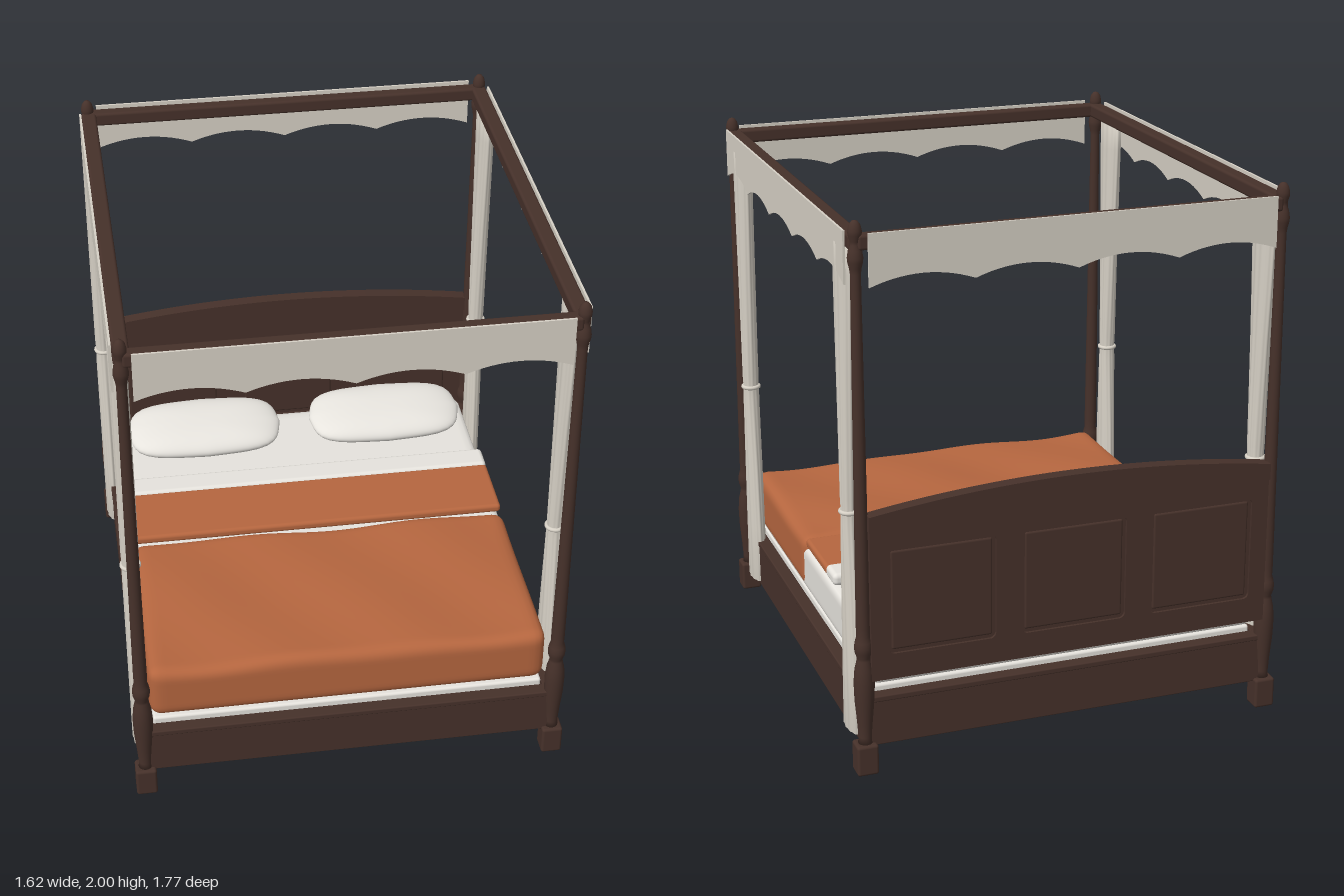
import * as THREE from 'three';
import { mergeVertices } from 'three/addons/utils/BufferGeometryUtils.js';
import { RoundedBoxGeometry } from 'three/addons/geometries/RoundedBoxGeometry.js';

const mat = (name, color, side = THREE.FrontSide) => {
  const m = new THREE.MeshStandardMaterial({ color, side });
  m.name = name;
  return m;
};

const PX = 0.77, PZ = 0.848; // post positions

// weld a geometry and give it smooth normals
function smooth(geo) {
  geo.deleteAttribute('uv');
  geo.deleteAttribute('normal');
  const g = mergeVertices(geo, 1e-5);
  g.computeVertexNormals();
  return g;
}

// move every vertex of a geometry by a rule
function reshape(geo, rule) {
  const p = geo.attributes.position, v = new THREE.Vector3();
  for (let i = 0; i < p.count; i++) {
    rule(v.fromBufferAttribute(p, i));
    p.setXYZ(i, v.x, v.y, v.z);
  }
  return geo;
}

// finely divided box with rounded edges and an optional ripple on its top
function softBox(w, h, d, r, ripple) {
  const half = new THREE.Vector3(w / 2 - r, h / 2 - r, d / 2 - r);
  const inner = new THREE.Vector3();
  const geo = reshape(new THREE.BoxGeometry(w, h, d, 64, 14, 48), v => {
    inner.copy(v).clamp(half.clone().negate(), half);
    v.sub(inner).normalize().multiplyScalar(r).add(inner);
    if (ripple) v.y += ripple(v.x, v.z) * Math.max(0, v.y / (h / 2));
  });
  return smooth(geo);
}

// plump pillow with a squarish outline
function pillowGeometry(a, t, b) {
  return smooth(reshape(new THREE.SphereGeometry(1, 48, 28), v => {
    const r = Math.hypot(v.x, v.z);
    if (r < 1e-6) { v.set(0, v.y * t, 0); return; }
    const cx = v.x / r, cz = v.z / r;
    const s = Math.pow(cx ** 4 + cz ** 4, -0.25) * Math.pow(r, 0.8);
    const corner = 1 - 0.05 * Math.abs(cx * cz) * 2;
    v.set(a * cx * s * corner, t * v.y, b * cz * s * corner);
  }));
}

// gathered curtain: wide ends, narrow waist, shallow pleats
function curtainGeometry() {
  const rows = [[0.118, 0.076], [0.35, 0.069], [0.6, 0.055], [0.8, 0.039], [0.9, 0.031], [0.945, 0.029],
    [0.99, 0.031], [1.15, 0.038], [1.4, 0.051], [1.6, 0.064], [1.8, 0.075], [1.9, 0.077]];
  const pts = [[rows[0][0], 0.0001], ...rows, [1.9, 0.0001]].map(([y, r]) => new THREE.Vector2(r, y));
  return smooth(reshape(new THREE.LatheGeometry(pts, 64), v => {
    const r = Math.hypot(v.x, v.z);
    const a = Math.atan2(v.z, v.x);
    const pleat = 1 + 0.05 * Math.cos(a * 12);
    v.x *= pleat * Math.min(r, 0.031) / r;
    v.z *= 1 + 0.02 * Math.cos(a * 12);
  }));
}

// valance strip with scalloped lower edge
function valanceGeometry(len, count) {
  const s = new THREE.Shape();
  const step = len / count, low = 1.777;
  s.moveTo(-len / 2, 1.96);
  s.lineTo(-len / 2, low);
  for (let i = 0; i < count; i++) {
    const x = -len / 2 + i * step;
    s.quadraticCurveTo(x + step / 2, low + 0.07, x + step, low);
  }
  s.lineTo(len / 2, 1.96);
  const g = new THREE.ExtrudeGeometry(s, { depth: 0.008, bevelEnabled: false, curveSegments: 14 });
  return g.translate(0, 0, -0.004);
}

// outline with a straight base and arched top
function archShape(w, y0, yEdge, yMid) {
  const s = new THREE.Shape();
  s.moveTo(-w, y0);
  s.lineTo(w, y0);
  s.lineTo(w, yEdge);
  s.quadraticCurveTo(0, 2 * yMid - yEdge, -w, yEdge);
  s.closePath();
  return s;
}

function roundedHole(x0, y0, x1, y1, r) {
  const p = new THREE.Path();
  p.absarc(x0 + r, y0 + r, r, Math.PI, Math.PI * 1.5);
  p.absarc(x1 - r, y0 + r, r, -Math.PI / 2, 0);
  p.absarc(x1 - r, y1 - r, r, 0, Math.PI / 2);
  p.absarc(x0 + r, y1 - r, r, Math.PI / 2, Math.PI);
  p.closePath();
  return p;
}

export function createModel() {
  const model = new THREE.Group();
  model.name = 'canopyBed';
  const wood = mat('dark wood', 0x46312a);
  const linen = mat('white linen', 0xe6e3dd);
  const drape = mat('drape cloth', 0xd6d0c5, THREE.DoubleSide);
  const rust = mat('rust blanket', 0xb5663f);

  const add = (name, geo, material, x = 0, y = 0, z = 0) => {
    const m = new THREE.Mesh(geo, material);
    m.name = name;
    m.position.set(x, y, z);
    model.add(m);
    return m;
  };
  const box = (name, w, h, d, r, material, x, y, z) =>
    add(name, new RoundedBoxGeometry(w, h, d, 3, r), material, x, y, z);

  // turned posts on square feet
  const profile = [[0.0001, 0.11], [0.026, 0.11], [0.024, 0.14], [0.028, 0.2], [0.035, 0.28], [0.037, 0.35],
    [0.033, 0.4], [0.025, 0.435], [0.024, 0.445], [0.031, 0.465], [0.033, 0.485], [0.03, 0.505], [0.024, 0.525],
    [0.025, 0.56], [0.022, 1.1], [0.018, 1.82], [0.021, 1.84], [0.026, 1.86], [0.027, 1.875], [0.023, 1.9],
    [0.016, 1.918], [0.017, 1.93], [0.023, 1.95], [0.024, 1.965], [0.019, 1.985], [0.01, 1.997], [0.0001, 2]]
    .map(([r, y]) => new THREE.Vector2(r, y));
  const postGeo = new THREE.LatheGeometry(profile, 24);
  const curtainGeo = curtainGeometry();
  const tieGeo = new THREE.TorusGeometry(0.031, 0.008, 10, 28).rotateX(Math.PI / 2);
  for (const sx of [-1, 1]) for (const sz of [-1, 1]) {
    add('post', postGeo, wood, sx * PX, 0, sz * PZ);
    box('foot', 0.078, 0.115, 0.076, 0.01, wood, sx * PX, 0.0575, sz * PZ);
    // curtains gathered by ties
    const cz = sz > 0 ? 0.685 : -0.72;
    add('curtain', curtainGeo, drape, sx * 0.773, 0, cz);
    add('curtainTie', tieGeo, drape, sx * 0.773, 0.942, cz);
  }

  // bed rails with a lip, canopy rails and valances
  const sideValance = valanceGeometry(1.635, 5).rotateY(Math.PI / 2);
  const endValance = valanceGeometry(1.47, 4);
  for (const s of [-1, 1]) {
    box('sideRail', 0.04, 0.17, 1.67, 0.004, wood, s * 0.76, 0.188, 0);
    box('sideRailLip', 0.05, 0.022, 1.67, 0.005, wood, s * 0.758, 0.281, 0);
    box('endRail', 1.52, 0.17, 0.04, 0.004, wood, 0, 0.188, s * 0.842);
    box('endRailLip', 1.52, 0.022, 0.05, 0.005, wood, 0, 0.281, s * 0.841);
    box('canopySideRail', 0.056, 0.052, 1.7, 0.01, wood, s * 0.766, 1.926, 0);
    box('canopyEndRail', 1.53, 0.052, 0.05, 0.01, wood, 0, 1.926, s * 0.845);
    add('sideValance', sideValance, drape, s * 0.799, 0, 0);
    add('endValance', endValance, drape, 0, 0, s * 0.88);
  }
  add('basePlatform', new THREE.BoxGeometry(1.52, 0.16, 1.68), wood, 0, 0.187, 0);

  // headboard: framed board, three recessed panels, arched cap
  const board = archShape(0.75, 0.36, 0.96, 1.02);
  for (const x of [-0.49, 0, 0.49]) {
    board.holes.push(roundedHole(x - 0.197, 0.455, x + 0.197, 0.85, 0.022));
    box('headboardPanel', 0.37, 0.37, 0.024, 0.008, wood, x, 0.652, -0.862);
  }
  const extrude = (shape, depth) => new THREE.ExtrudeGeometry(shape, { depth, bevelEnabled: false, curveSegments: 32 });
  add('headboardFrame', extrude(board, 0.034), wood, 0, 0, -0.879);
  add('headboardBack', new THREE.BoxGeometry(1.46, 0.46, 0.014), wood, 0, 0.652, -0.862);
  add('headboardCap', extrude(archShape(0.752, 0.915, 0.975, 1.034), 0.05), wood, 0, 0, -0.886);

  // mattress and bedding
  box('boxSpring', 1.46, 0.05, 1.62, 0.01, linen, 0, 0.285, 0);
  add('mattress', softBox(1.47, 0.178, 1.62, 0.03), linen, 0, 0.398, -0.01);
  const ripple = (x, z) => 0.006 * Math.sin(x * 7 + z * 5) + 0.005 * Math.sin(x * 11 - z * 8 + 1) - 0.004;
  add('duvet', softBox(1.48, 0.222, 0.775, 0.045, ripple), rust, 0, 0.422, 0.428);
  box('foldedBlanket', 1.474, 0.036, 0.285, 0.014, rust, 0, 0.519, -0.115);
  box('foldedSheet', 1.474, 0.048, 0.112, 0.018, linen, 0, 0.52, -0.305);

  // pillows leaning toward the headboard
  const pillowGeo = pillowGeometry(0.318, 0.052, 0.157);
  for (const s of [-1, 1]) {
    add('pillow', pillowGeo, linen, s * 0.38, 0.553, -0.655).rotation.x = 0.2;
  }
  return model;
}
